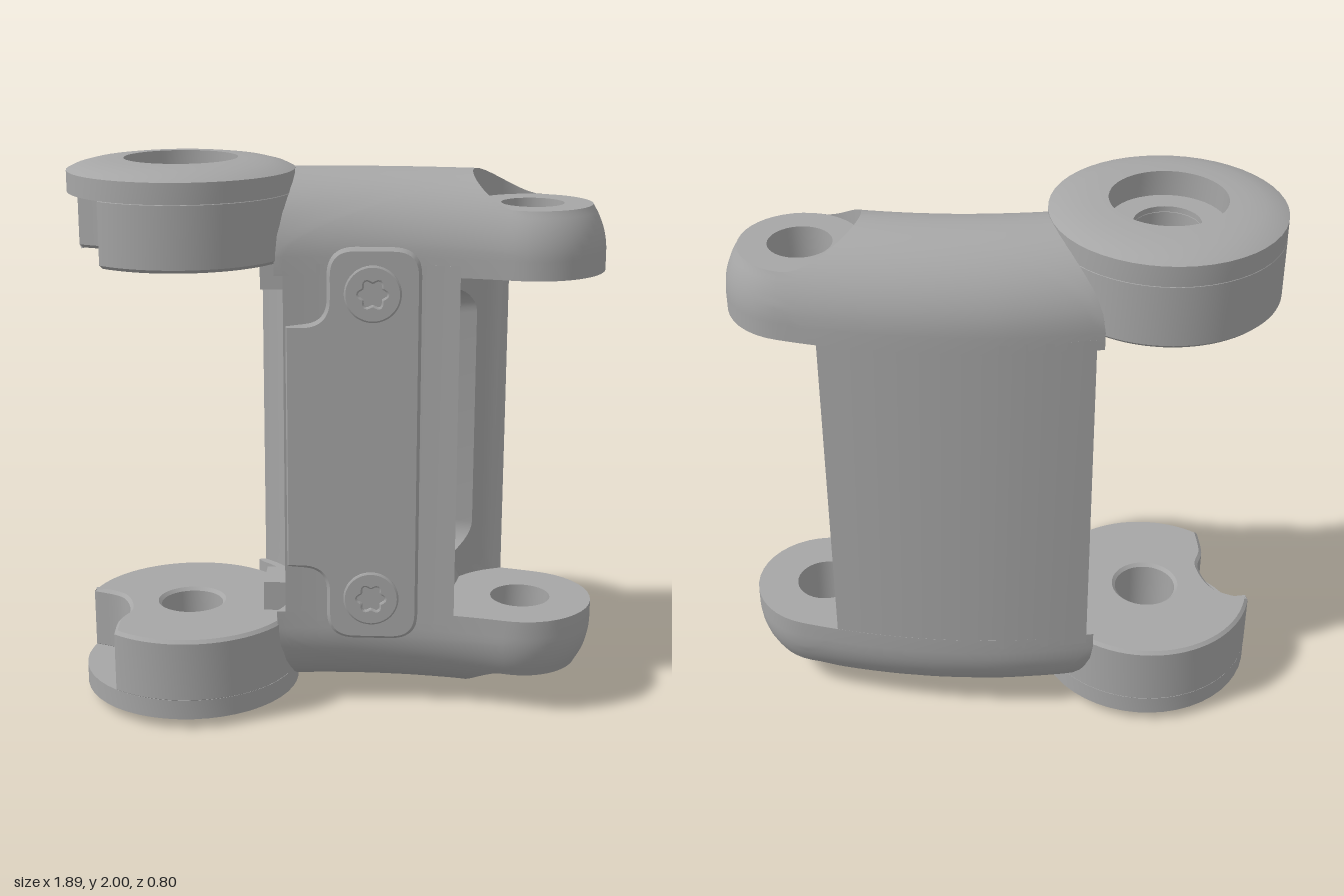
import * as THREE from 'three';
import { toCreasedNormals } from 'three/addons/utils/BufferGeometryUtils.js';

const PIN = 0.68, KNUCKLE = -0.55;

// Curved spine of the body in plan, and its half width
const spineZ = x => -0.09 + 0.23 * (x - 0.06) ** 2;
const slope = x => 0.46 * (x - 0.06);
const halfWidth = x => 0.275 - 0.015 * THREE.MathUtils.clamp(x / PIN, 0, 1);
const stretch = x => Math.hypot(1, slope(x));
const edge = (x, side) => {
  const k = side * halfWidth(x) / stretch(x);
  return [x - slope(x) * k, spineZ(x) + k];
};

// Reverses the corners of every triangle
function flip(geo) {
  const a = geo.attributes.position.array;
  for (let i = 0; i < a.length; i += 9)
    for (let k = 3; k < 6; k++) [a[i + k], a[i + k + 3]] = [a[i + k + 3], a[i + k]];
  return geo;
}

// Closed ring of closed sections, turned outward by its signed volume
function loft(sections) {
  const pos = [], n = sections.length, m = sections[0].length;
  let volume = 0;
  const tri = (...p) => {
    const [a, b, c] = p.map(q => new THREE.Vector3(...q));
    volume += a.dot(b.clone().cross(c));
    if (b.clone().sub(a).cross(c.clone().sub(a)).length() > 1e-9) pos.push(...p.flat());
  };
  for (let i = 0; i < n; i++) for (let j = 0; j < m; j++) {
    const A = sections[i], B = sections[(i + 1) % n], k = (j + 1) % m;
    tri(A[j], B[j], B[k]);
    tri(A[j], B[k], A[k]);
  }
  const geo = new THREE.BufferGeometry();
  geo.setAttribute('position', new THREE.Float32BufferAttribute(pos, 3));
  return volume < 0 ? flip(geo) : geo;
}

// Domed upper arm with pin hole and round pocket, lofted around the pin
function armGeometry() {
  const rim = [], N = 26, c = spineZ(PIN), turn = Math.atan(slope(PIN));
  for (let i = 0; i <= N; i++) rim.push([...edge(-0.25 + (PIN + 0.25) * i / N, 1), true]);
  for (let i = 1; i < 20; i++) {
    const a = turn + Math.PI * (0.5 - i / 20);
    rim.push([PIN + 0.26 * Math.cos(a), c + 0.26 * Math.sin(a), true]);
  }
  for (let i = 0; i <= N; i++) rim.push([...edge(PIN - (PIN + 0.285) * i / N, -1), true]);
  for (let i = 0; i <= 14; i++) {
    const a = THREE.MathUtils.degToRad(-52 + 82 * i / 14);
    rim.push([KNUCKLE + 0.39 * Math.cos(a), 0.39 * Math.sin(a), false]);
  }
  const height = (x, z) => {
    const inCap = (x - PIN) + (z - c) * slope(PIN) > 0;
    const u = inCap ? Math.hypot(x - PIN, z - c) / 0.26
      : Math.abs(z - spineZ(x)) / (halfWidth(x) * stretch(x));
    return 1.685 + 0.275 * Math.sqrt(Math.max(0, 1 - u * u));
  };
  return loft(rim.map(([x, z, side]) => {
    const a = Math.atan2(z - c, x - PIN), R = Math.hypot(x - PIN, z - c);
    const at = (r, y) => [PIN + r * Math.cos(a), y, c + r * Math.sin(a)];
    const p = [at(0.11, 1.62), at(0.11, 1.85), at(0.21, 1.85)];
    for (let k = 0; k <= 12; k++) {
      const r = 0.21 + (R - 0.21) * Math.sin(k / 12 * Math.PI / 2), q = at(r, 0);
      q[1] = k === 12 && side ? 1.685 : Math.max(height(q[0], q[2]), k === 0 ? 1.85 : 0);
      p.push(q);
    }
    p.push(at(R, 1.62));
    return p;
  }));
}

// Hollow middle: concave ends pierced by a rounded window
function bodyGeometry() {
  const leftX = z => KNUCKLE + Math.sqrt(0.42 ** 2 - z * z);
  const rightX = z => z > 0.13 ? 0.43 : z < -0.28 ? 0.62 : PIN - Math.sqrt(0.29 ** 2 - z * z);
  const outer = (v, fn) => {
    let x = fn(0);
    for (let i = 0; i < 12; i++) x = fn(spineZ(x) + v * halfWidth(x) * stretch(x));
    return x;
  };
  const sections = [];
  for (let q = 0; q < 4; q++) for (let i = 0; i <= 8; i++) {
    const a = (q + i / 8) * Math.PI / 2, r = 0.1;
    const sz = q === 0 || q === 3 ? 1 : -1, sy = q < 2 ? 1 : -1;
    const dz = sz * (0.18 - r) + r * Math.cos(a);
    const hole = h => [sy * (h - r) + r * Math.sin(a) + 1, dz - 0.05];
    const L = hole(0.46), R = hole(0.51);
    const v = THREE.MathUtils.clamp(dz / 0.18 * 1.3, -1, 1);
    const Y = 1 + 0.66 * THREE.MathUtils.clamp((R[0] - 1) / 0.51 * 1.3, -1, 1);
    const xl = outer(v, leftX), xr = outer(v, rightX);
    const zAt = x => spineZ(x) + v * halfWidth(x) * stretch(x);
    const p = [], lerp = THREE.MathUtils.lerp;
    for (let k = 0; k < 4; k++) {
      const z = lerp(L[1], zAt(xl), k / 4);
      p.push([leftX(z), lerp(L[0], Y, k / 4), z]);
    }
    for (let k = 0; k <= 12; k++) {
      const x = lerp(xl, xr, k / 12);
      p.push([x, Y, zAt(x)]);
    }
    for (let k = 3; k >= 0; k--) {
      const z = lerp(R[1], zAt(xr), k / 4);
      p.push([rightX(z), lerp(R[0], Y, k / 4), z]);
    }
    sections.push(p);
  }
  return loft(sections);
}

// Counterbored outer face of the lower knuckle
function knuckleBase() {
  const pts = [[0.115, 0.11], [0.115, 0.09], [0.2, 0.09], [0.2, 0], [0.26, 0.002], [0.32, 0.01],
    [0.37, 0.023], [0.4, 0.037], [0.4, 0.11], [0.115, 0.11]];
  return new THREE.LatheGeometry(pts.map(p => new THREE.Vector2(...p)), 48).translate(KNUCKLE, 0, 0);
}

// Inner part of the lower knuckle with its hooked notch
function knuckleTop() {
  const s = new THREE.Shape(), rad = THREE.MathUtils.degToRad;
  s.absarc(0, 0, 0.4, rad(193), rad(487), false);
  s.splineThru([[-0.245, 0.2], [-0.22, 0.1], [-0.27, -0.03], [-0.39, -0.09]].map(p => new THREE.Vector2(...p)));
  s.holes.push(new THREE.Path().absarc(0, 0, 0.115, 0, Math.PI * 2, true));
  return new THREE.ExtrudeGeometry(s, { depth: 0.216, curveSegments: 32, bevelSize: 0.012,
    bevelOffset: -0.012, bevelThickness: 0.012, bevelSegments: 1 })
    .rotateX(Math.PI / 2).translate(KNUCKLE, 0.328, 0);
}

// Front cover with a widened tab at each screw
function coverGeometry() {
  const s = new THREE.Shape();
  s.moveTo(-0.18, 0.55);
  s.lineTo(-0.12, 0.55);
  s.quadraticCurveTo(-0.03, 0.55, -0.03, 0.46);
  s.lineTo(-0.03, 0.38);
  s.quadraticCurveTo(-0.03, 0.28, 0.07, 0.28);
  s.lineTo(0.2, 0.28);
  s.quadraticCurveTo(0.3, 0.28, 0.3, 0.38);
  s.lineTo(0.3, 1.62);
  s.quadraticCurveTo(0.3, 1.72, 0.2, 1.72);
  s.lineTo(0.07, 1.72);
  s.quadraticCurveTo(-0.03, 1.72, -0.03, 1.62);
  s.lineTo(-0.03, 1.54);
  s.quadraticCurveTo(-0.03, 1.45, -0.12, 1.45);
  s.lineTo(-0.18, 1.45);
  return new THREE.ExtrudeGeometry(s, { depth: 0.03, bevelSize: 0.012, bevelOffset: -0.012,
    bevelThickness: 0.012, bevelSegments: 1 }).translate(0, 0, 0.162);
}

// Screw head with a six-lobed socket
function screwGeometry() {
  const s = new THREE.Shape().absarc(0, 0, 0.1, 0, Math.PI * 2, false);
  const star = [];
  for (let i = 48; i > 0; i--) {
    const a = i / 48 * Math.PI * 2, r = 0.044 + 0.007 * Math.cos(6 * a);
    star.push(new THREE.Vector2(r * Math.cos(a), r * Math.sin(a)));
  }
  s.holes.push(new THREE.Path(star));
  return new THREE.ExtrudeGeometry(s, { depth: 0.006, curveSegments: 24, bevelSize: 0.006,
    bevelOffset: -0.006, bevelThickness: 0.004, bevelSegments: 1 }).translate(0.13, 0.44, 0.204);
}

export function createModel() {
  const group = new THREE.Group();
  const grey = new THREE.MeshStandardMaterial({ color: 0xa6a6a6 });
  grey.name = 'grey';
  const add = (name, geo) => {
    const mesh = new THREE.Mesh(toCreasedNormals(geo, 0.55), grey);
    mesh.name = name;
    group.add(mesh);
  };
  // Adds a part and its copy mirrored about mid height
  const addPair = (name, geo, upperFirst = false) => {
    const a = geo.index ? geo.toNonIndexed() : geo;
    const b = flip(a.clone().scale(1, -1, 1).translate(0, 2, 0));
    add((upperFirst ? 'upper ' : 'lower ') + name, a);
    add((upperFirst ? 'lower ' : 'upper ') + name, b);
  };
  const box = (w, h, d, x, y, z) => new THREE.BoxGeometry(w, h, d).translate(x, y, z);

  add('hollow body', bodyGeometry());
  add('front cover', coverGeometry());
  addPair('arm', armGeometry(), true);
  addPair('knuckle base', knuckleBase());
  addPair('knuckle top', knuckleTop());
  addPair('screw', screwGeometry());
  addPair('catch block', box(0.12, 0.12, 0.16, -0.21, 0.39, 0.01));
  addPair('catch tab', box(0.08, 0.05, 0.08, -0.08, 0.635, 0.08));
  return group;
}
